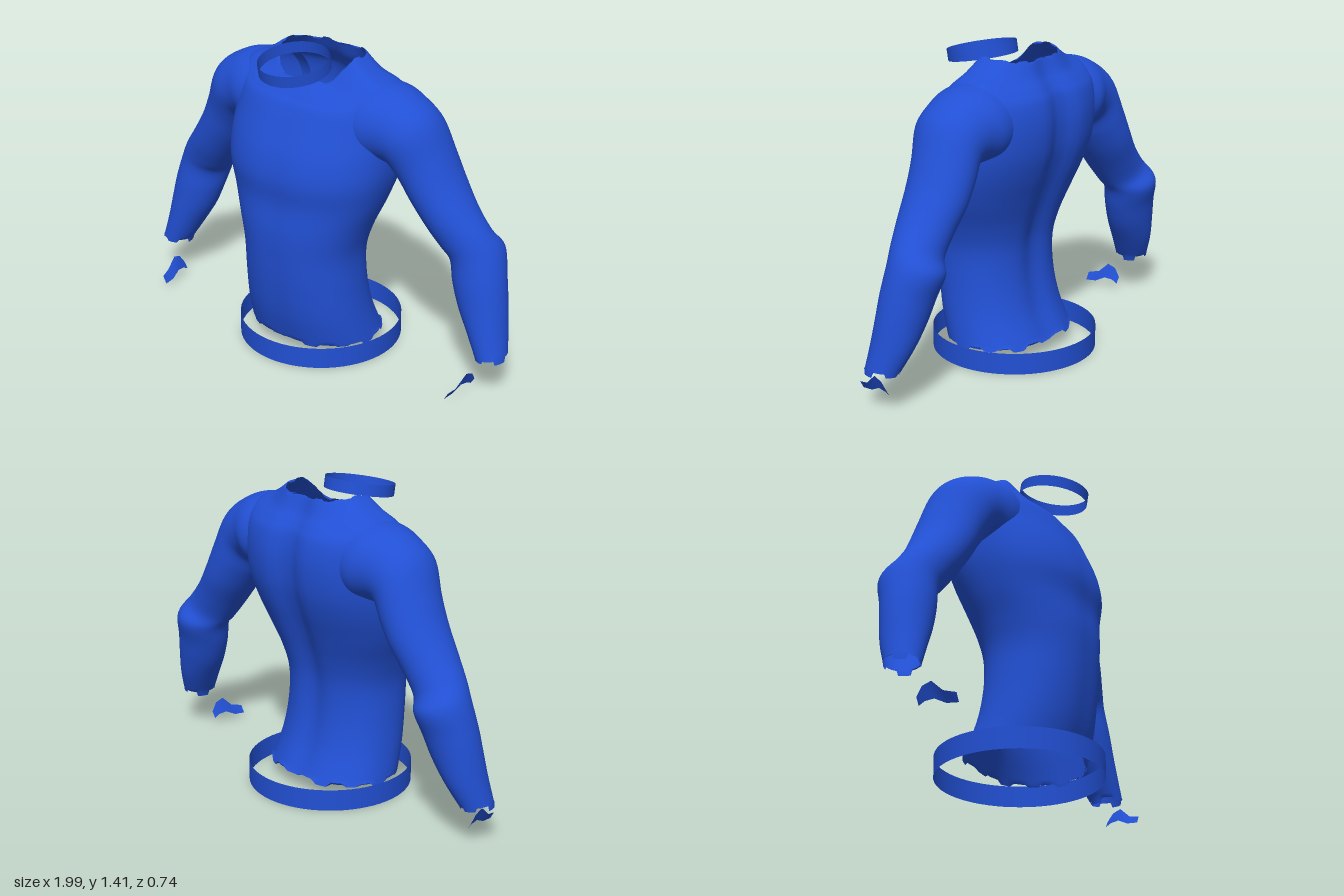
import * as THREE from 'three';

const blue = new THREE.MeshStandardMaterial({ color: 0x2250d4, side: THREE.DoubleSide });
blue.name = 'blue fabric';

const COLS = 72;
const smoothstep = THREE.MathUtils.smoothstep;

// Smoothly interpolates a table of section parameters into n + 1 rows
function resample(table, n) {
  const cr = (a, b, c, d, t) =>
    b + 0.5 * t * (c - a + t * (2 * a - 5 * b + 4 * c - d + t * (3 * (b - c) + d - a)));
  const at = (i) => table[Math.max(0, Math.min(table.length - 1, i))];
  return Array.from({ length: n + 1 }, (_, r) => {
    const f = (r / n) * (table.length - 1);
    const i = Math.min(Math.floor(f), table.length - 2);
    return at(i).map((_, k) => cr(at(i - 1)[k], at(i)[k], at(i + 1)[k], at(i + 2)[k], f - i));
  });
}

// Skins closed rings, listed from bottom to top, into an open tube
function loft(rings) {
  const pos = [], idx = [], n = rings[0].length;
  rings.forEach((ring) => ring.forEach((p) => pos.push(...p)));
  for (let r = 0; r < rings.length - 1; r++) {
    for (let c = 0; c < n; c++) {
      const a = r * n + c, b = r * n + ((c + 1) % n);
      idx.push(a, a + n, b, b, a + n, b + n);
    }
  }
  const g = new THREE.BufferGeometry();
  g.setAttribute('position', new THREE.Float32BufferAttribute(pos, 3));
  g.setIndex(idx);
  g.computeVertexNormals();
  return g;
}

const ringOf = (fn) => Array.from({ length: COLS }, (_, c) => fn((c / COLS) * Math.PI * 2, c));
const mirror = (rings) => rings.map((ring) => ring.map(([x, y, z]) => [-x, y, z])).reverse();
const signedPow = (v, p) => Math.sign(v) * Math.abs(v) ** p;
// Stepped, torn edge; width is the number of columns per step
const tear = (c, width) => [0, 0.02, 0.008, 0.025][Math.floor(c / width) % 4];

function add(group, name, geometry) {
  const mesh = new THREE.Mesh(geometry, blue);
  mesh.name = name;
  group.add(mesh);
  return mesh;
}

// Torso: side height, front drop, back drop, half width, front z, back z, spine groove, back fullness
const TORSO = [
  [0.06, 0, 0, 0.318, 0.268, -0.215, 0.012, 0.9],
  [0.2, 0, 0, 0.3, 0.308, -0.155, 0.02, 0.9],
  [0.35, 0, 0, 0.287, 0.332, -0.125, 0.025, 0.9],
  [0.5, 0, 0, 0.285, 0.345, -0.125, 0.03, 0.9],
  [0.62, 0, 0, 0.315, 0.348, -0.152, 0.035, 0.9],
  [0.75, 0, 0, 0.365, 0.338, -0.198, 0.04, 0.87],
  [0.87, 0, 0, 0.4, 0.347, -0.245, 0.045, 0.83],
  [0.98, 0, 0, 0.412, 0.325, -0.275, 0.045, 0.8],
  [1.1, 0.005, 0, 0.412, 0.276, -0.283, 0.045, 0.8],
  [1.21, 0.03, 0.01, 0.405, 0.235, -0.265, 0.04, 0.8],
  [1.28, 0.07, 0.03, 0.375, 0.207, -0.235, 0.035, 0.85],
  [1.325, 0.08, 0.03, 0.28, 0.175, -0.2, 0.03, 0.9],
  [1.38, 0.1, 0.015, 0.2, 0.14, -0.168, 0.025, 0.9],
];

function torsoRings() {
  const rows = resample(TORSO, 72);
  return rows.map(([y, fd, bd, w, zf, zb, groove, full], r) => ringOf((a, c) => {
    const ca = Math.cos(a), sa = Math.sin(a);
    const p = sa < 0 ? full : 0.92;
    const x = w * signedPow(ca, p);
    let z = (zf + zb) / 2 + ((zf - zb) / 2) * signedPow(sa, p);
    const mid = Math.exp(-((x / 0.07) ** 2));
    z += sa < 0 ? groove * mid * -sa : -0.006 * mid * sa;
    let py = y - fd * smoothstep(sa, 0.2, 0.9) - bd * smoothstep(-sa, 0.2, 0.9);
    if (r === 0) py += tear(c, 3);
    if (r === rows.length - 1) py -= 0.5 * tear(c, 3);
    return [x, py, z];
  }));
}

// Arm, wrist to inside the chest: outer x, y, inner x, y, front z, back z
const ARM = [
  [0.997, 0.188, 0.865, 0.172, 0.055, -0.1],
  [0.975, 0.3, 0.8, 0.28, 0.05, -0.145],
  [0.957, 0.41, 0.74, 0.38, 0.045, -0.172],
  [0.935, 0.52, 0.7, 0.48, 0.04, -0.195],
  [0.9, 0.64, 0.675, 0.57, 0.032, -0.225],
  [0.85, 0.72, 0.64, 0.62, 0.045, -0.185],
  [0.78, 0.81, 0.58, 0.7, 0.07, -0.185],
  [0.705, 0.925, 0.505, 0.8, 0.09, -0.2],
  [0.65, 1.04, 0.445, 0.89, 0.105, -0.2],
  [0.58, 1.185, 0.405, 0.95, 0.135, -0.195],
  [0.47, 1.262, 0.37, 0.95, 0.15, -0.205],
  [0.37, 1.292, 0.31, 0.94, 0.172, -0.228],
  [0.24, 1.3, 0.22, 0.94, 0.17, -0.21],
];

function armRings() {
  return resample(ARM, 72).map(([ox, oy, ix, iy, zf, zb], r) => ringOf((a, c) => {
    const t = Math.cos(a) / 2;
    const z = (zf + zb) / 2 + ((zf - zb) / 2) * Math.sin(a);
    const y = (oy + iy) / 2 + t * (oy - iy) + (r === 0 ? tear(c, 9) - 0.012 : 0);
    return [(ox + ix) / 2 + t * (ox - ix), y, z];
  }));
}

// Torn cuff scrap: upper x, y and lower x, y, z
const SCRAP = [
  [0.85, 0.055, 0.83, 0.02, 0.178],
  [0.865, 0.068, 0.835, 0.025, 0.125],
  [0.872, 0.115, 0.845, 0.05, 0.075],
  [0.875, 0.1, 0.85, 0.045, 0.035],
  [0.87, 0.06, 0.85, 0.03, 0.008],
];

function scrapGeometry(side) {
  const pos = [], idx = [];
  SCRAP.forEach(([ux, uy, lx, ly, z], i) => {
    pos.push(side * ux, uy, z, side * lx, ly, z);
    const a = i * 2;
    if (i === SCRAP.length - 1) return;
    if (side > 0) idx.push(a, a + 2, a + 1, a + 1, a + 2, a + 3);
    else idx.push(a, a + 1, a + 2, a + 1, a + 3, a + 2);
  });
  const g = new THREE.BufferGeometry();
  g.setAttribute('position', new THREE.Float32BufferAttribute(pos, 3));
  g.setIndex(idx);
  g.computeVertexNormals();
  return g;
}

export function createModel() {
  const model = new THREE.Group();
  model.name = 'shirt';

  add(model, 'torso', loft(torsoRings()));

  // Sleeves and cuff scraps
  const arm = armRings();
  add(model, 'leftSleeve', loft(arm));
  add(model, 'rightSleeve', loft(mirror(arm)));
  add(model, 'leftCuffScrap', scrapGeometry(1));
  add(model, 'rightCuffScrap', scrapGeometry(-1));

  // Hem band around the waist
  const hem = add(model, 'hemBand', new THREE.CylinderGeometry(0.372, 0.372, 0.098, 64, 1, true));
  hem.position.y = 0.049;

  // Tilted collar band in front of the neck opening
  const collar = add(model, 'collarBand', new THREE.CylinderGeometry(0.157, 0.157, 0.053, 48, 1, true));
  collar.position.set(0, 1.352, 0.178);
  collar.rotation.x = 0.18;

  return model;
}
